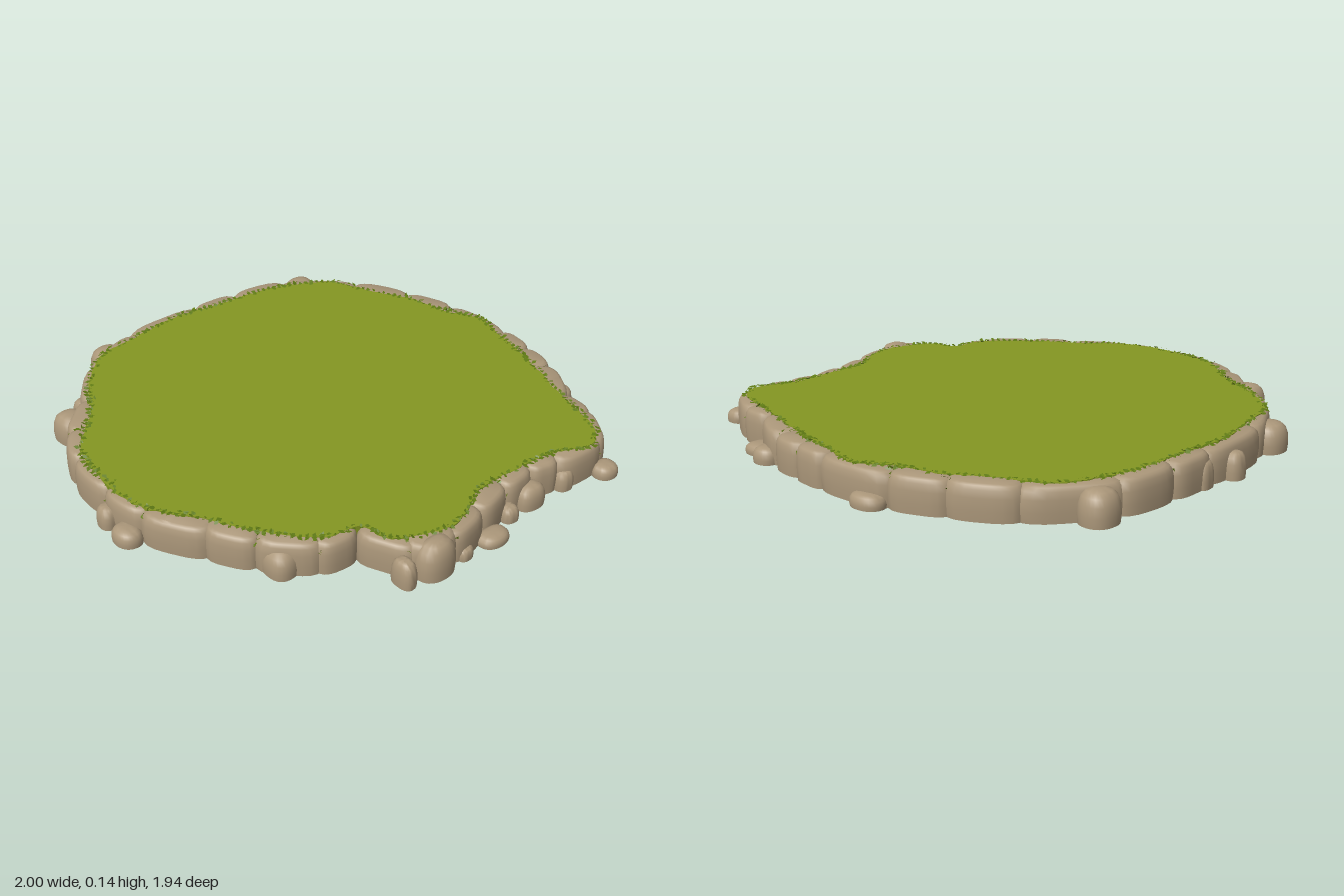
import * as THREE from 'three';
import { mergeGeometries, toCreasedNormals } from 'three/addons/utils/BufferGeometryUtils.js';

const TOP = 0.132;

// Edge of the lawn, as x, z pairs running back, left, front, right
const LAWN = [
  -0.05, -0.88, 0.13, -0.85, 0.32, -0.83, 0.48, -0.79, 0.67, -0.67, 0.74, -0.50, 0.83, -0.33,
  0.86, -0.18, 0.93, -0.03, 0.89, 0.13, 0.83, 0.35, 0.76, 0.53, 0.72, 0.67, 0.66, 0.82,
  0.57, 0.88, 0.43, 0.82, 0.24, 0.80, 0.06, 0.80, -0.02, 0.84, -0.13, 0.88, -0.29, 0.84,
  -0.37, 0.77, -0.38, 0.69, -0.53, 0.64, -0.69, 0.45, -0.77, 0.30, -0.90, 0.10, -0.91, -0.13,
  -0.87, -0.32, -0.72, -0.49, -0.61, -0.67, -0.45, -0.82, -0.26, -0.85,
];

// Joints between the wall stones along the outer edge, same direction
const JOINTS = [
  -0.27, -0.89, 0.07, -0.90, 0.26, -0.88, 0.50, -0.83, 0.74, -0.61, 0.86, -0.39, 0.92, -0.19,
  0.94, 0.11, 0.92, 0.25, 0.88, 0.40, 0.77, 0.59, 0.75, 0.72, 0.63, 0.88, 0.41, 0.86,
  0.30, 0.83, 0.16, 0.84, 0.00, 0.87, -0.17, 0.92, -0.33, 0.87, -0.41, 0.69, -0.56, 0.66,
  -0.70, 0.50, -0.80, 0.35, -0.91, 0.13, -0.93, -0.07, -0.91, -0.29, -0.83, -0.46,
  -0.68, -0.60, -0.53, -0.78,
];

// Loose rocks at the foot of the wall: x, z, width, depth, height
const ROCKS = [
  [-0.05, -0.935, 0.09, 0.07, 0.1], [0.10, -0.90, 0.08, 0.06, 0.1],
  [-0.39, -0.88, 0.15, 0.13, 0.11], [-0.46, -0.84, 0.08, 0.08, 0.07],
  [-0.76, -0.57, 0.13, 0.14, 0.11], [-0.65, -0.66, 0.08, 0.08, 0.08],
  [-0.95, -0.03, 0.08, 0.09, 0.08], [-0.95, 0.09, 0.10, 0.12, 0.06],
  [-0.64, 0.56, 0.13, 0.13, 0.10], [0.58, -0.80, 0.14, 0.14, 0.12],
  [0.95, -0.12, 0.10, 0.14, 0.05], [0.87, 0.47, 0.10, 0.11, 0.06],
  [0.82, 0.56, 0.11, 0.12, 0.04], [0.62, 0.92, 0.10, 0.09, 0.05],
  [0.27, 0.86, 0.12, 0.09, 0.09], [0.02, 0.92, 0.13, 0.09, 0.04],
  [-0.12, 0.91, 0.07, 0.07, 0.05], [-0.25, 0.905, 0.16, 0.11, 0.137],
  [-0.37, 0.88, 0.07, 0.10, 0.1], [0.15, 0.87, 0.07, 0.07, 0.06],
  [0.44, 0.87, 0.08, 0.07, 0.08],
];

const WALL_PROFILE = [[0, 0], [0.97, 0], [1, 0.3], [0.99, 0.65], [0.94, 0.86], [0.86, 0.96], [0.74, 1], [0, 1]];
const ROCK_PROFILE = [[0, 0], [0.96, 0], [1, 0.3], [0.95, 0.6], [0.82, 0.82], [0.6, 0.95], [0.3, 1], [0, 1]];

function seeded(seed) {
  return () => (seed = (seed * 16807) % 2147483647) / 2147483647;
}

function toPoints(flat) {
  const points = [];
  for (let i = 0; i < flat.length; i += 2) points.push(new THREE.Vector3(flat[i], 0, flat[i + 1]));
  return points;
}

// A lathe squared off in plan to a superellipse, with a slight wobble
function stoneGeometry(profile, width, height, depth, power, phase) {
  const geo = new THREE.LatheGeometry(profile.map(([r, y]) => new THREE.Vector2(r, y)), 28);
  const pos = geo.attributes.position;
  for (let i = 0; i < pos.count; i++) {
    const x = pos.getX(i), z = pos.getZ(i);
    const a = Math.atan2(z, x);
    const c = Math.abs(Math.cos(a)), s = Math.abs(Math.sin(a));
    const f = (c ** power + s ** power) ** (-1 / power) * (1 + 0.03 * Math.sin(3 * a + phase));
    pos.setXYZ(i, x * f * width / 2, pos.getY(i) * height, z * f * depth / 2);
  }
  return toCreasedNormals(geo, 0.75);
}

export function createModel() {
  const model = new THREE.Group();
  model.name = 'grassyStonePlatform';
  const rand = seeded(4217);
  const grass = new THREE.MeshStandardMaterial({ name: 'grass green', color: 0x849722 });
  const stone = new THREE.MeshStandardMaterial({ name: 'tan stone', color: 0xab977a });
  const moss = new THREE.MeshStandardMaterial({ name: 'moss green', color: 0x5f7a14, side: THREE.DoubleSide });

  const add = (name, geometry, material, parent = model) => {
    const mesh = new THREE.Mesh(geometry, material);
    mesh.name = name;
    parent.add(mesh);
    return mesh;
  };

  // Lawn slab
  const edge = new THREE.CatmullRomCurve3(toPoints(LAWN), true, 'centripetal');
  const rim = edge.getSpacedPoints(240).slice(0, -1);
  const shape = new THREE.Shape(rim.map((p) => {
    const k = 1 + (rand() - 0.5) * 0.012;
    return new THREE.Vector2(p.x * k, -p.z * k);
  }));
  const slab = new THREE.ExtrudeGeometry(shape, { depth: TOP, bevelEnabled: false });
  slab.rotateX(-Math.PI / 2);
  add('lawn', slab, grass);

  // Wall stones, one between each pair of joints
  const wall = new THREE.Group();
  wall.name = 'stoneWall';
  model.add(wall);
  const joints = toPoints(JOINTS);
  joints.forEach((a, i) => {
    const b = joints[(i + 1) % joints.length];
    const along = b.clone().sub(a);
    const length = along.length();
    along.normalize();
    const outward = new THREE.Vector3(along.z, 0, -along.x);
    const depth = 0.16, bulge = 0.015 + length * 0.06;
    const height = TOP - 0.006 + rand() * 0.005;
    const geo = stoneGeometry(WALL_PROFILE, length * 1.1 + 0.01, height, depth, 3.2, rand() * 6);
    const mesh = add('wallStone', geo, stone, wall);
    mesh.position.copy(a).add(b).multiplyScalar(0.5).addScaledVector(outward, bulge - depth / 2);
    mesh.position.y = 0.001;
    mesh.rotation.y = Math.atan2(-along.z, along.x);
  });

  // Loose rocks
  const rocks = new THREE.Group();
  rocks.name = 'looseRocks';
  model.add(rocks);
  for (const [x, z, w, d, h] of ROCKS) {
    add('rock', stoneGeometry(ROCK_PROFILE, w, h, d, 2.4, rand() * 6), stone, rocks).position.set(x, 0.001, z);
  }

  // Small leaves fringing the lawn and trailing into some joints
  const leaves = [];
  const addLeaf = (x, y, z, tilt) => {
    const size = 0.007 + rand() * 0.008;
    const leaf = new THREE.CircleGeometry(size, 4);
    leaf.scale(0.65, 1, 1);
    leaf.rotateX(-Math.PI / 2 + (rand() - 0.5) * tilt);
    leaf.rotateZ((rand() - 0.5) * tilt);
    leaf.rotateY(rand() * Math.PI * 2);
    leaf.translate(x, y, z);
    leaves.push(leaf);
  };
  rim.forEach((p, i) => {
    const count = Math.sin(i * 0.37) + Math.sin(i * 0.13) > 0.1 ? 5 : 2;
    for (let n = 0; n < count; n++) {
      const k = 1 + (rand() - 0.5) * 0.03;
      addLeaf(p.x * k, TOP + rand() * 0.004, p.z * k, 0.9);
    }
  });
  joints.forEach((p, i) => {
    if (i % 3 === 1) return;
    const drop = 0.02 + rand() * 0.05;
    for (let n = 0; n < 16; n++) {
      const t = rand();
      const k = 0.955 + t * 0.04;
      addLeaf(p.x * k + (rand() - 0.5) * 0.03, TOP - t * drop, p.z * k + (rand() - 0.5) * 0.03, 2.4);
    }
  });
  add('mossFringe', mergeGeometries(leaves), moss);

  return model;
}
